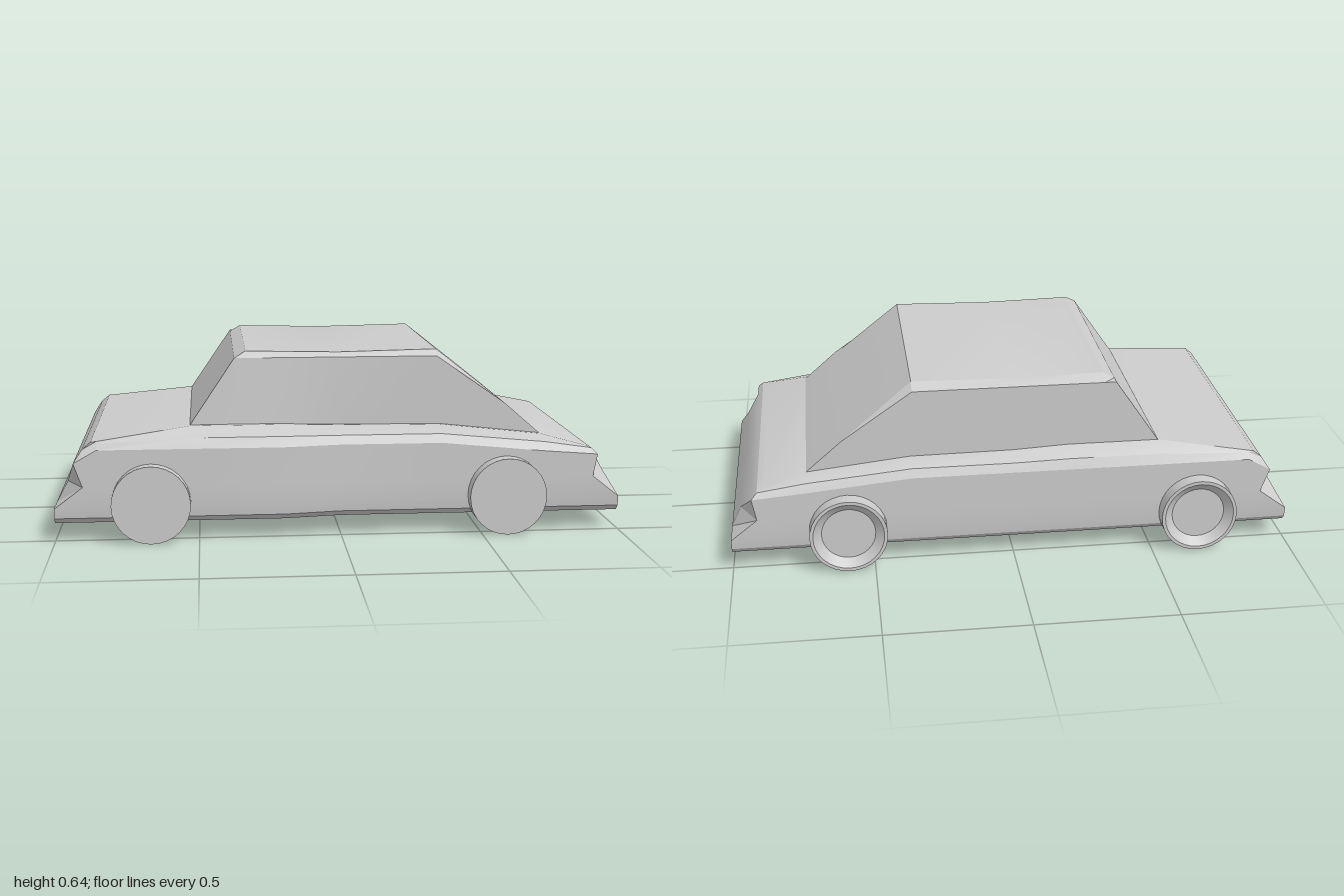
import * as THREE from 'three';
import { toCreasedNormals } from 'three/addons/utils/BufferGeometryUtils.js';

const grey = new THREE.MeshStandardMaterial({ color: 0xcccccc });

// Skin a stack of equal rings and close both ends with strips between point k and its partner.
function loft(rings) {
  const n = rings[0].length, index = [];
  const quad = (a, b, c, d) => index.push(a, b, c, a, c, d);
  for (let r = 0; r < rings.length - 1; r++) {
    for (let i = 0; i < n; i++) {
      const j = (i + 1) % n;
      quad(r * n + i, r * n + j, (r + 1) * n + j, (r + 1) * n + i);
    }
  }
  const top = (rings.length - 1) * n;
  for (let k = 0; k < n / 2 - 1; k++) {
    quad(top + k, top + k + 1, top + n - 2 - k, top + n - 1 - k);
    quad(n - 1 - k, n - 2 - k, k + 1, k);
  }
  const g = new THREE.BufferGeometry();
  g.setAttribute('position', new THREE.Float32BufferAttribute(rings.flat(2), 3));
  g.setIndex(index);
  return toCreasedNormals(g, 0.4);
}

function add(group, name, geometry) {
  const mesh = new THREE.Mesh(geometry, grey);
  mesh.name = name;
  group.add(mesh);
  return mesh;
}

// The left flank steps inward a little between x = -0.2 and x = 0.
const step = (x) => 0.03 * THREE.MathUtils.clamp(1 + x / 0.2, 0, 1);

function bodyGeometry() {
  const mid = [-0.85, -0.53, -0.2, 0, 0.36, 0.73];
  const flat = (y) => Array(8).fill(y);
  const deckInset = [0.02, 0.025, 0.085, 0.085, 0.085, 0.085, 0.08, 0.035];
  // Levels from floor to deck: rear x, front x, heights along the car, side insets
  const levels = [
    { rear: -1, front: 1, y: flat(0.065), inset: flat(0.025) },
    { rear: -1, front: 1, y: flat(0.085), inset: flat(0.005) },
    { rear: -1, front: 1, y: flat(0.12), inset: flat(0) },
    { rear: -0.96, front: 0.965, y: flat(0.195), inset: flat(0), notch: 0.06 },
    { rear: -0.93, front: 0.92, y: [0.28, 0.325, 0.325, 0.325, 0.325, 0.325, 0.29, 0.275], inset: flat(0) },
    { rear: -0.9, front: 0.9, y: [0.325, 0.345, 0.36, 0.36, 0.355, 0.355, 0.32, 0.295], inset: flat(0.018) },
    { rear: -0.87, front: 0.88, y: [0.35, 0.352, 0.39, 0.39, 0.38, 0.377, 0.337, 0.302], inset: deckInset },
  ];
  return loft(levels.map(({ rear, front, y, inset, notch = 0 }) => {
    const xs = [rear + notch, ...mid, front - notch];
    const near = xs.map((x, i) => [x, y[i], 0.528 - step(x) - inset[i]]);
    const far = xs.map((x, i) => [x, y[i], -0.522 + inset[i] * 0.85]);
    // Inner end points hold the nose and tail forward of the notched corners
    return [
      [rear, y[0], 0.41], ...near, [front, y[7], 0.41],
      [front, y[7], -0.41], ...far.reverse(), [rear, y[0], -0.41],
    ];
  }));
}

function cabinGeometry() {
  const profile = [[-0.53, 0.388], [-0.37, 0.622], [-0.33, 0.645], [-0.2, 0.642], [0, 0.638],
    [0.35, 0.645], [0.6, 0.448], [0.73, 0.335]];
  const nearZ = (x, y) => THREE.MathUtils.lerp(0.43 - step(x), 0.402,
    THREE.MathUtils.clamp((y - 0.39) / 0.23, 0, 1));
  // Slices across the car; the outer two are cut lower to chamfer the roof edges
  const slices = [
    { z: () => -0.45, roof: 0.622 },
    { z: () => -0.41, roof: 1 },
    { z: () => 0.385, roof: 1 },
    { z: nearZ, roof: 0.622 },
  ];
  return loft(slices.map(({ z, roof }) => {
    const base = profile.map(([x]) => [x, 0.3, z(x, 0.3)]);
    const upper = profile.map(([x, h]) => {
      const y = Math.min(h, roof);
      return [x, y, z(x, y)];
    });
    return [...base, ...upper.reverse()];
  }));
}

// Wheel with a flat cap toward +z and a dished face toward -z
function wheelGeometry(width) {
  const r = 0.137;
  const points = [[0, 0.025], [0.095, 0.025], [0.125, 0], [r, 0], [r, width], [0, width]]
    .map(([x, y]) => new THREE.Vector2(x, y));
  const g = new THREE.LatheGeometry(points, 32);
  g.rotateX(Math.PI / 2);
  return toCreasedNormals(g, 0.4);
}

export function createModel() {
  const car = new THREE.Group();
  car.name = 'car';
  add(car, 'body', bodyGeometry());
  add(car, 'cabin', cabinGeometry());

  // Wheels: name, x, inner-most z, width
  for (const [name, x, z, width] of [
    ['rearLeftWheel', -0.665, 0.49, 0.085],
    ['frontLeftWheel', 0.59, 0.465, 0.085],
    ['rearRightWheel', -0.665, -0.575, 0.07],
    ['frontRightWheel', 0.59, -0.575, 0.07],
  ]) {
    add(car, name, wheelGeometry(width)).position.set(x, 0.137, z);
  }
  return car;
}
